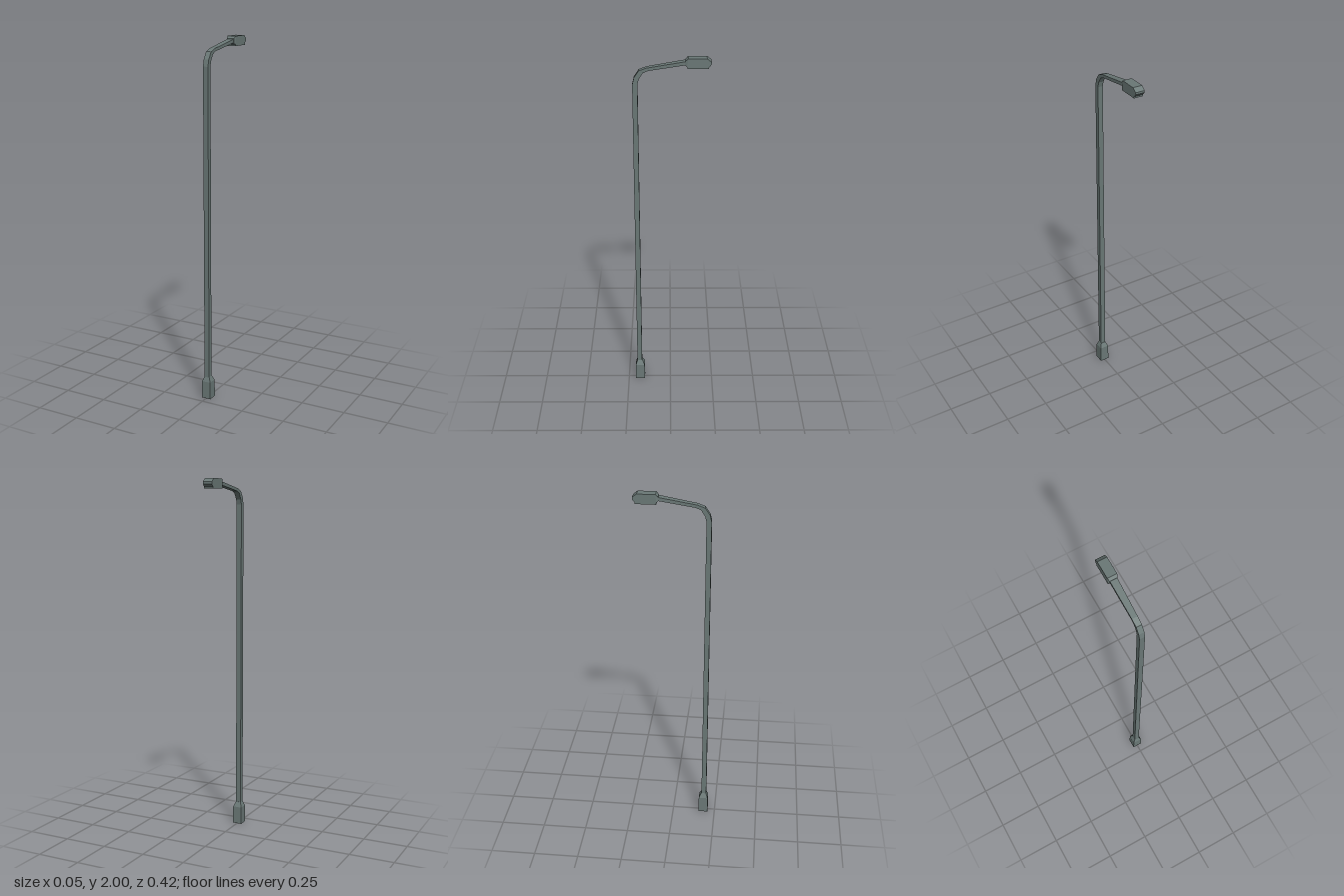
import * as THREE from 'three';

// Loft through four-cornered sections [outerZ, outerY, innerZ, innerY, halfWidth], capped at both ends
function loft(sections) {
  const rings = sections.map(([zo, yo, zi, yi, w]) => [[-w, yo, zo], [w, yo, zo], [w, yi, zi], [-w, yi, zi]]);
  const pos = [];
  const quad = (a, b, c, d) => [a, b, c, a, c, d].forEach((p) => pos.push(...p));
  for (let s = 0; s < rings.length - 1; s++) {
    const a = rings[s], b = rings[s + 1];
    for (let i = 0; i < 4; i++) {
      const j = (i + 1) % 4;
      quad(a[i], a[j], b[j], b[i]);
    }
  }
  quad(...[...rings[0]].reverse());
  quad(...rings[rings.length - 1]);
  const geometry = new THREE.BufferGeometry();
  geometry.setAttribute('position', new THREE.Float32BufferAttribute(pos, 3));
  geometry.computeVertexNormals();
  return geometry;
}

export function createModel() {
  const group = new THREE.Group();
  const paint = new THREE.MeshStandardMaterial({ color: 0x6a7876 });
  paint.name = 'grey green metal';
  const add = (name, geometry) => {
    const mesh = new THREE.Mesh(geometry, paint);
    mesh.name = name;
    group.add(mesh);
    return mesh;
  };

  // Square foot with a tapered shoulder
  add('base', loft([
    [0.208, 0, 0.154, 0, 0.027],
    [0.207, 0.1, 0.155, 0.1, 0.026],
    [0.197, 0.128, 0.169, 0.128, 0.0145],
  ]));

  // Upright, bend and arm in one run; the arm flattens and widens outwards
  add('poleAndArm', loft([
    [0.198, 0.1, 0.17, 0.1, 0.0145],
    [0.196, 1.86, 0.169, 1.86, 0.0145],
    [0.187, 1.897, 0.162, 1.889, 0.0147],
    [0.162, 1.934, 0.141, 1.922, 0.015],
    [0.122, 1.949, 0.114, 1.934, 0.0155],
    [-0.085, 1.985, -0.085, 1.966, 0.0195],
  ]));

  // Lamp housing with chamfered back and wedge-shaped tip
  add('lampHousing', loft([
    [-0.077, 1.987, -0.077, 1.963, 0.021],
    [-0.09, 2, -0.085, 1.956, 0.026],
    [-0.186, 2, -0.196, 1.956, 0.026],
    [-0.209, 1.982, -0.209, 1.971, 0.026],
  ]));

  // Rim around the recessed underside
  const rect = (Type, w, z0, z1) => new Type([
    new THREE.Vector2(-w, z0), new THREE.Vector2(w, z0), new THREE.Vector2(w, z1), new THREE.Vector2(-w, z1),
  ]);
  const rim = rect(THREE.Shape, 0.026, 0.086, 0.196);
  rim.holes.push(rect(THREE.Path, 0.02, 0.098, 0.188));
  const rimGeometry = new THREE.ExtrudeGeometry(rim, { depth: 0.009, bevelEnabled: false });
  rimGeometry.rotateX(-Math.PI / 2);
  add('lampRim', rimGeometry).position.y = 1.947;

  return group;
}
